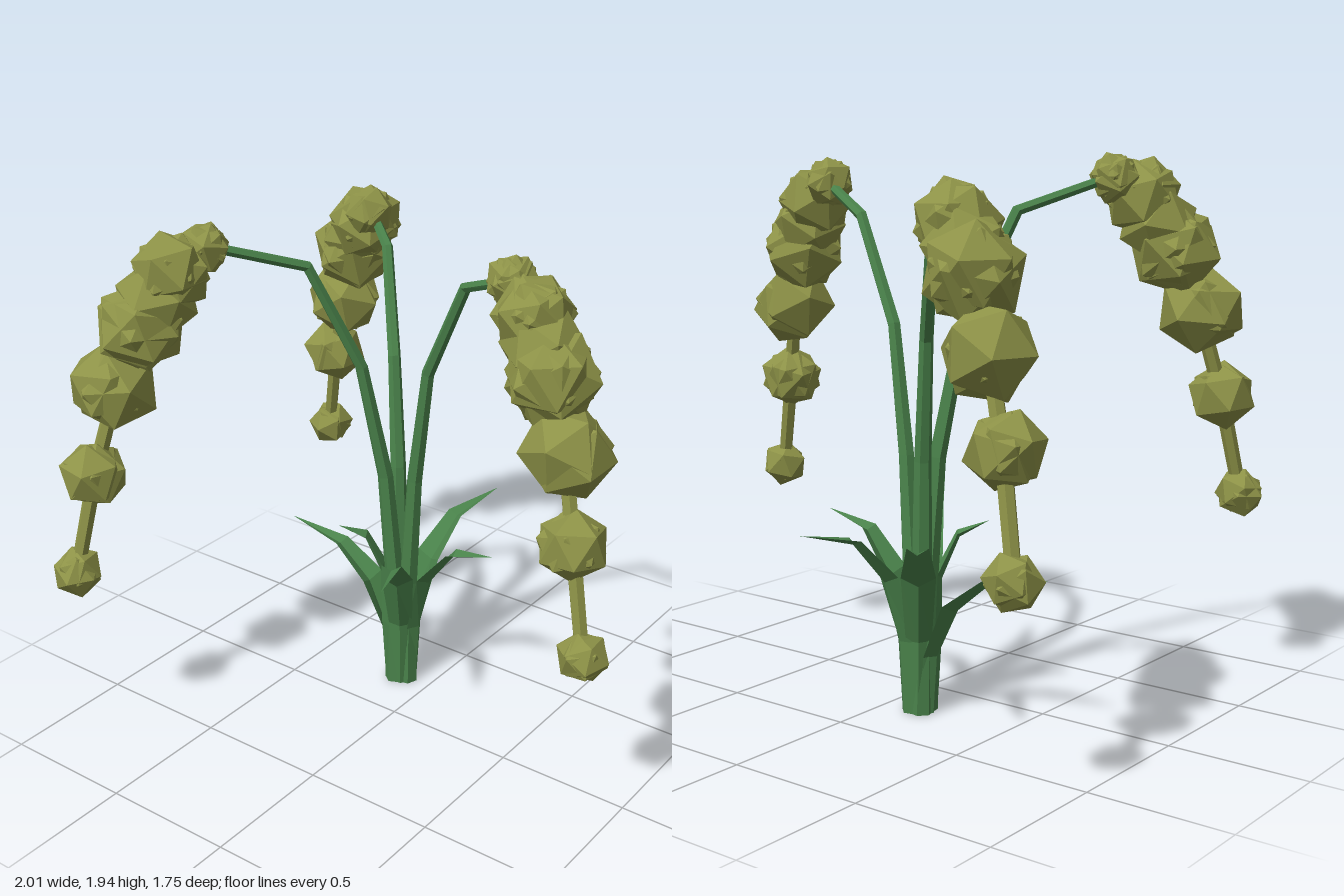
import * as THREE from 'three';

const green = new THREE.MeshStandardMaterial({ name: 'leafGreen', color: 0x4a834b, flatShading: true, side: THREE.DoubleSide });
const olive = new THREE.MeshStandardMaterial({ name: 'seedOlive', color: 0x8d9247, flatShading: true });
const CX = -0.13, CZ = -0.23; // foot of the plant

let seed = 7;
const rand = () => (seed = (seed * 16807) % 2147483647) / 2147483647;

function mesh(name, geometry, material) {
  const m = new THREE.Mesh(geometry, material);
  m.name = name;
  return m;
}

// Joins equal-length cross-sections into a flat-shaded skin
function loft(rings, closed) {
  const pos = [], n = rings[0].length;
  for (let i = 0; i < rings.length - 1; i++) {
    for (let j = 0; j < (closed ? n : n - 1); j++) {
      const k = (j + 1) % n;
      const a = rings[i][j], b = rings[i][k], c = rings[i + 1][k], d = rings[i + 1][j];
      for (const p of [a, b, c, a, c, d]) pos.push(p.x, p.y, p.z);
    }
  }
  const g = new THREE.BufferGeometry();
  g.setAttribute('position', new THREE.Float32BufferAttribute(pos, 3));
  g.computeVertexNormals();
  return g;
}

// Tapered many-sided rod along a bent path lying near a vertical plane
function rod(points, radii, sides) {
  const first = points[0], last = points[points.length - 1];
  const side = new THREE.Vector3(last.z - first.z, 0, first.x - last.x).normalize();
  const rings = points.map((p, i) => {
    const t = points[Math.min(i + 1, points.length - 1)].clone().sub(points[Math.max(i - 1, 0)]).normalize();
    const up = t.clone().cross(side).normalize();
    return Array.from({ length: sides }, (_, j) => {
      const a = (j / sides) * Math.PI * 2;
      return p.clone().addScaledVector(side, Math.cos(a) * radii[i]).addScaledVector(up, Math.sin(a) * radii[i]);
    });
  });
  const cap = (p) => Array.from({ length: sides }, () => p.clone());
  return loft([cap(first), ...rings, cap(last)], true);
}

// Jagged seed cluster: overlapping, randomly turned icosahedra
function cluster(center, radius, count) {
  const g = new THREE.Group();
  g.name = 'seedCluster';
  for (let i = 0; i < count; i++) {
    const m = mesh('seed', new THREE.IcosahedronGeometry(radius * (1.04 - 0.04 * i), 0), olive);
    m.position.copy(center);
    if (i) m.position.add(new THREE.Vector3(rand() - 0.5, rand() - 0.5, rand() - 0.5).multiplyScalar(radius * 0.3));
    m.rotation.set(rand() * 6, rand() * 6, rand() * 6);
    g.add(m);
  }
  return g;
}

// Arching folded leaf, tapering to a point
function leaf(tipX, tipY, tipZ) {
  const dx = tipX - CX, dz = tipZ - CZ, len = Math.hypot(dx, dz);
  const ux = dx / len, uz = dz / len;
  // outward distance, height, half width, fold depth
  const sections = [
    [0.045, 0, 0.035, 0.02],
    [0.055, tipY * 0.38, 0.045, 0.025],
    [len * 0.27, tipY * 0.72, 0.06, 0.03],
    [len * 0.55, tipY * 0.93, 0.037, 0.018],
    [len, tipY, 0.001, 0],
  ];
  const rings = sections.map(([r, y, w, fold], i) => {
    const steep = i < 2 ? 1 : 0.5; // fold points outward low down, downward higher up
    const ridge = new THREE.Vector3(CX + ux * (r + fold * steep), y - fold * (1 - steep), CZ + uz * (r + fold * steep));
    const edge = (s) => new THREE.Vector3(CX + ux * r - uz * w * s, y + (i > 1 ? fold * 0.4 : 0), CZ + uz * r + ux * w * s);
    return [edge(-1), ridge, edge(1)];
  });
  return mesh('leaf', loft(rings, false), green);
}

const V = (a) => a.map((p) => new THREE.Vector3(...p));
const STALKS = [
  {
    stem: [[-0.1, 0, -0.22], [-0.095, 0.45, -0.22], [-0.06, 0.9, -0.21], [0.01, 1.35, -0.19], [0.19, 1.72, -0.15], [0.45, 1.83, -0.03]],
    head: [[0.46, 1.83, -0.02], [0.57, 1.76, 0.03], [0.68, 1.59, 0.08], [0.755, 1.37, 0.11], [0.83, 1.07, 0.16], [0.91, 0.7, 0.2]],
  },
  {
    stem: [[-0.155, 0, -0.25], [-0.16, 0.45, -0.25], [-0.18, 0.9, -0.27], [-0.235, 1.32, -0.32], [-0.37, 1.68, -0.46], [-0.5, 1.77, -0.54]],
    head: [[-0.51, 1.77, -0.54], [-0.58, 1.71, -0.6], [-0.67, 1.57, -0.645], [-0.76, 1.35, -0.69], [-0.84, 1.07, -0.73], [-0.92, 0.7, -0.78]],
  },
  {
    stem: [[-0.14, 0, -0.2], [-0.145, 0.45, -0.2], [-0.17, 0.9, -0.175], [-0.22, 1.35, -0.1], [-0.345, 1.74, 0.04], [-0.53, 1.85, 0.33]],
    head: [[-0.54, 1.85, 0.35], [-0.59, 1.78, 0.45], [-0.67, 1.6, 0.54], [-0.74, 1.38, 0.61], [-0.79, 1.07, 0.7], [-0.83, 0.7, 0.79]],
  },
];
const SEED_RADII = [0.09, 0.135, 0.16, 0.15, 0.12, 0.088];

export function createModel() {
  const model = new THREE.Group();
  model.name = 'droopingPlant';

  // Stalks with hanging seed heads
  for (const s of STALKS) {
    const stalk = new THREE.Group();
    stalk.name = 'stalk';
    const stem = V(s.stem), head = V(s.head);
    stalk.add(mesh('stem', rod(stem, [0.042, 0.037, 0.03, 0.024, 0.021, 0.018], 6), green));
    stalk.add(mesh('seedStem', rod(head, [0.02, 0.022, 0.024, 0.026, 0.028, 0.026], 6), olive));
    head.forEach((p, i) => stalk.add(cluster(p, SEED_RADII[i], i < 3 ? 3 : 2)));
    // Filler where the upper clusters crowd together
    stalk.add(cluster(head[1].clone().lerp(head[2], 0.5), 0.14, 1));
    model.add(stalk);
  }

  // Ring of leaves at the foot
  const leaves = new THREE.Group();
  leaves.name = 'leaves';
  for (const tip of [
    [-0.49, 0.7, -0.69], [0, 0.69, -0.69], [0.28, 0.67, -0.23],
    [0.15, 0.72, 0.28], [-0.32, 0.68, -0.08], [-0.67, 0.55, -0.23],
  ]) leaves.add(leaf(...tip));
  model.add(leaves);

  return model;
}
